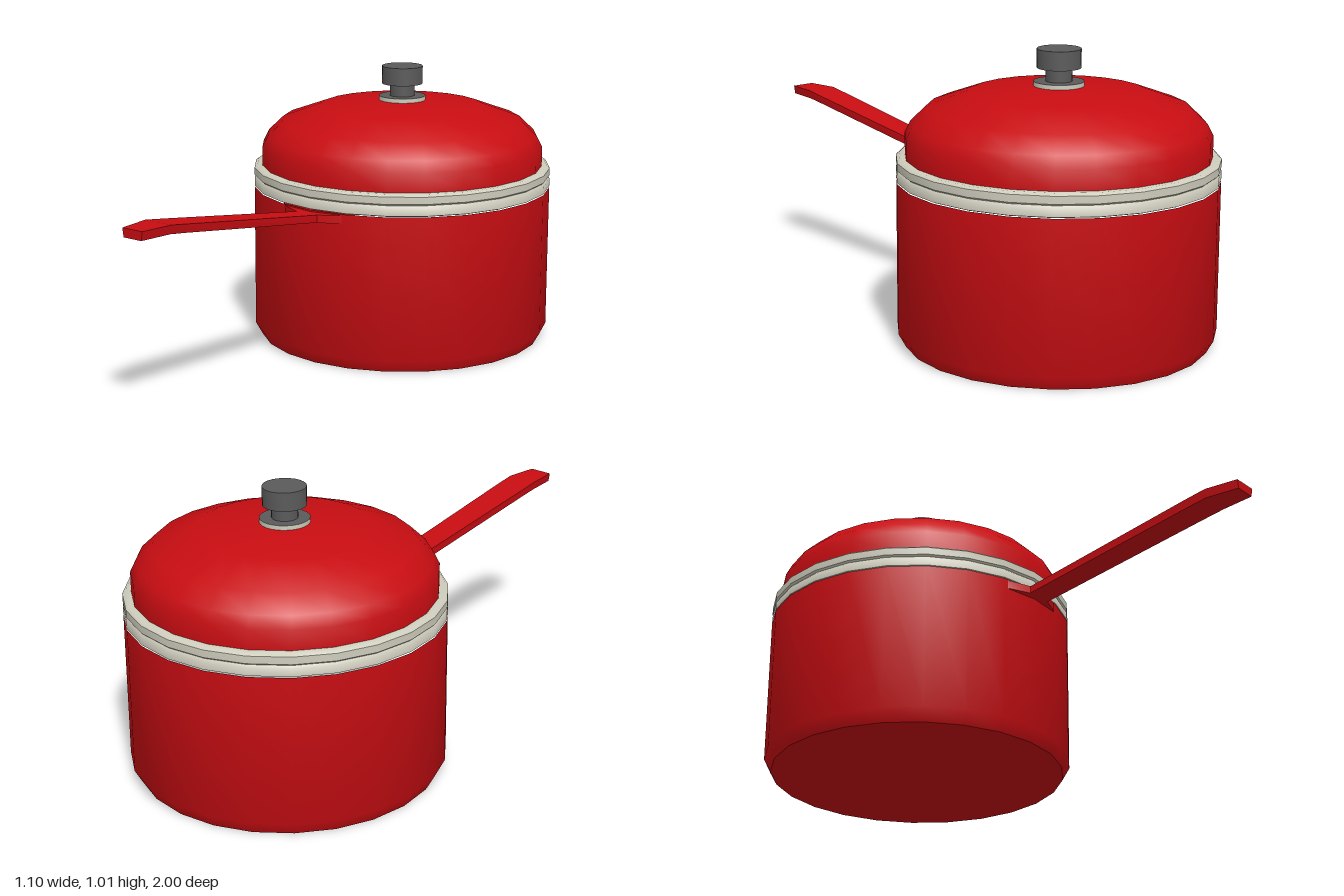
import * as THREE from 'three';
import { toCreasedNormals } from 'three/addons/utils/BufferGeometryUtils.js';

const RED = 0xc80d12, CREAM = 0xcfcdbd, GREY = 0x5a5a5a;
const POT_Z = -0.45;

function addMesh(group, name, geometry, color, crease) {
  const material = new THREE.MeshStandardMaterial({ color });
  const mesh = new THREE.Mesh(toCreasedNormals(geometry, crease), material);
  mesh.name = name;
  group.add(mesh);
  return mesh;
}

// Round part turned about the pot's vertical axis; profile is [radius, y] from bottom to top.
function addTurned(group, name, profile, color, sides = 24) {
  const points = profile.map(([r, y]) => new THREE.Vector2(r, y));
  addMesh(group, name, new THREE.LatheGeometry(points, sides), color, 0.85).position.z = POT_Z;
}

// Four-sided bar lofted through sections [z, bottomY, topY, bottomHalfWidth, topHalfWidth].
function barGeometry(sections) {
  const positions = [], index = [];
  for (const [z, y0, y1, w0, w1] of sections) {
    positions.push(w1, y1, z, -w1, y1, z, -w0, y0, z, w0, y0, z);
  }
  for (let i = 0; i < sections.length - 1; i++) {
    for (let j = 0; j < 4; j++) {
      const a = i * 4 + j, b = i * 4 + (j + 1) % 4;
      index.push(a, b, b + 4, a, b + 4, a + 4);
    }
  }
  const e = (sections.length - 1) * 4;
  index.push(0, 2, 1, 0, 3, 2, e, e + 1, e + 2, e, e + 2, e + 3);
  const geometry = new THREE.BufferGeometry();
  geometry.setAttribute('position', new THREE.Float32BufferAttribute(positions, 3));
  geometry.setIndex(index);
  return geometry;
}

export function createModel() {
  const model = new THREE.Group();
  model.name = 'saucepan';

  // Pot with a chamfered foot
  addTurned(model, 'potBody', [[0, 0], [0.525, 0], [0.55, 0.045], [0.55, 0.57]], RED);

  // Double cream rim, grooved between pot and lid
  addTurned(model, 'potRim', [
    [0.54, 0.57], [0.55, 0.574], [0.55, 0.602], [0.543, 0.61],
  ], CREAM);
  addTurned(model, 'lidRim', [
    [0.543, 0.61], [0.55, 0.616], [0.55, 0.642], [0.54, 0.65], [0.515, 0.65],
  ], CREAM);

  // Domed lid
  addTurned(model, 'lid', [
    [0.52, 0.645], [0.52, 0.72], [0.5, 0.76], [0.445, 0.813],
    [0.3, 0.866], [0.08, 0.887], [0, 0.887],
  ], RED);

  // Knob: washer, stem and head
  addTurned(model, 'knobWasher', [[0.086, 0.884], [0.086, 0.902]], CREAM);
  addTurned(model, 'knob', [
    [0.086, 0.902], [0.045, 0.902], [0.045, 0.947], [0.075, 0.947],
    [0.075, 1.012], [0, 1.012],
  ], GREY);

  // Long handle, flared at the pot and levelled off at the tip
  addMesh(model, 'handle', barGeometry([
    [0.05, 0.54, 0.568, 0.16, 0.16],
    [0.09, 0.535, 0.565, 0.12, 0.12],
    [0.12, 0.535, 0.562, 0.048, 0.046],
    [0.8, 0.637, 0.667, 0.052, 0.057],
    [0.88, 0.648, 0.679, 0.052, 0.057],
    [1.0, 0.648, 0.679, 0.038, 0.043],
  ]), RED, 0.5);

  return model;
}
